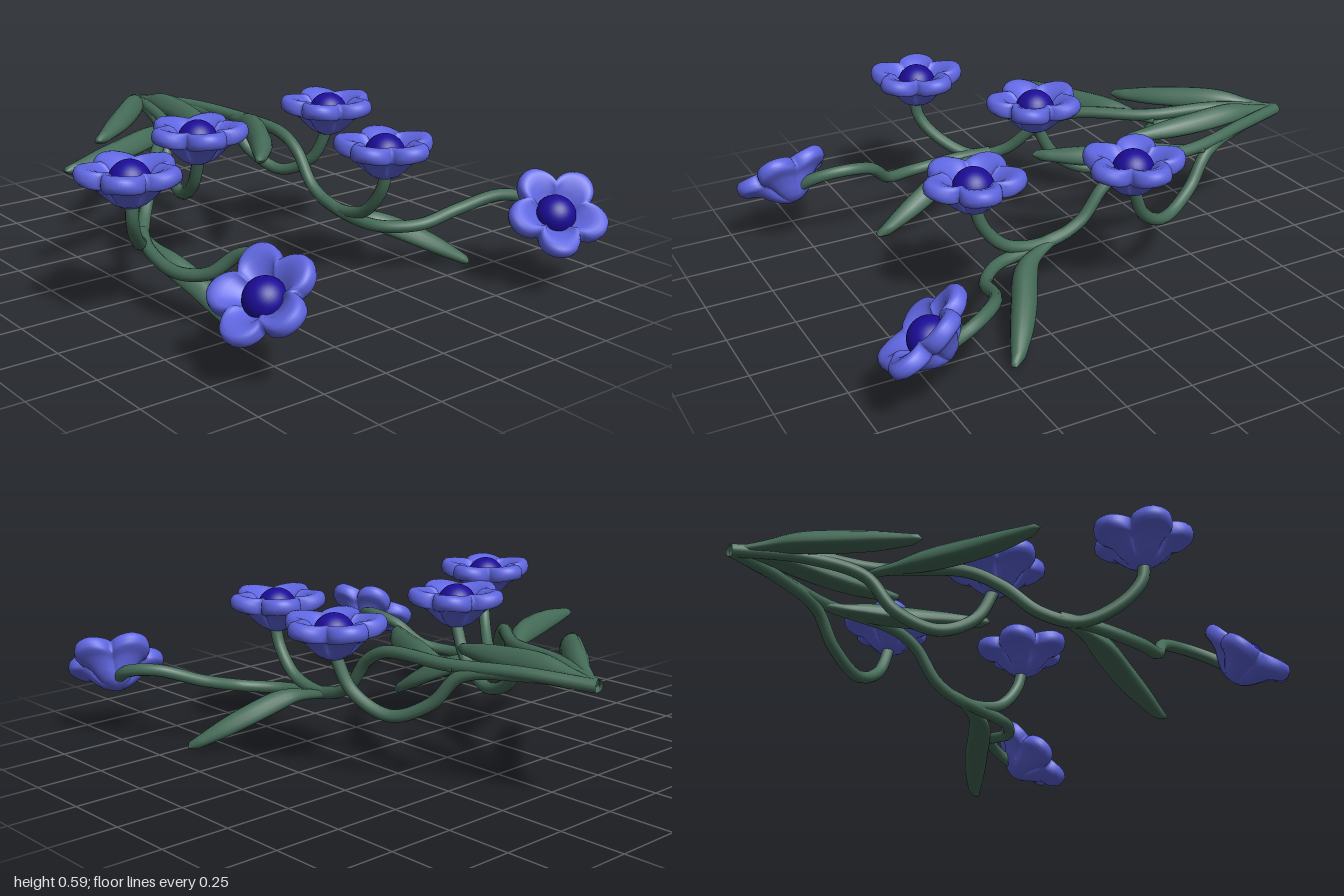
import * as THREE from 'three';

const V = (p) => new THREE.Vector3(...p);
const green = new THREE.MeshStandardMaterial({ color: 0x456b58, side: THREE.DoubleSide });
const blue = new THREE.MeshStandardMaterial({ color: 0x5f66e0, side: THREE.DoubleSide });
const navy = new THREE.MeshStandardMaterial({ color: 0x1c0c98 });

// Skin a grid of closed rings: ring(i, j) gives the point for ring i, spoke j
function loft(rings, spokes, ring) {
  const pos = [], idx = [];
  for (let i = 0; i < rings; i++) for (let j = 0; j < spokes; j++) pos.push(...ring(i, j).toArray());
  for (let i = 0; i < rings - 1; i++) {
    for (let j = 0; j < spokes; j++) {
      const a = i * spokes + j, b = i * spokes + (j + 1) % spokes;
      idx.push(a, b, a + spokes, b, b + spokes, a + spokes);
    }
  }
  const geo = new THREE.BufferGeometry();
  geo.setAttribute('position', new THREE.Float32BufferAttribute(pos, 3));
  geo.setIndex(idx);
  geo.computeVertexNormals();
  return geo;
}

function mesh(name, geo, mat) {
  const m = new THREE.Mesh(geo, mat);
  m.name = name;
  return m;
}

function stem(points) {
  const curve = new THREE.CatmullRomCurve3(points.map(V), false, 'centripetal');
  return mesh('stem', new THREE.TubeGeometry(curve, 64, 0.023, 12), green);
}

// Leaf: plump arched section that swells from a thin stalk, with a blunt tip swept to one side
const leafWidth = new THREE.SplineCurve([[0, 0.02], [0.2, 0.026], [0.4, 0.043], [0.6, 0.046], [0.8, 0.041], [1, 0.022]]
  .map((p) => new THREE.Vector2(...p)));

function leaf(points) {
  const curve = new THREE.CatmullRomCurve3(points.map(V));
  const rings = 32, spokes = 16;
  const geo = loft(rings, spokes, (i, j) => {
    const t = i / (rings - 1);
    const w = i === rings - 1 ? 0.002 : leafWidth.getPoint(t).y;
    const dir = curve.getTangent(t);
    const side = new THREE.Vector3().crossVectors(dir, new THREE.Vector3(0, 1, 0)).normalize();
    const up = new THREE.Vector3().crossVectors(side, dir);
    const a = (j / spokes) * Math.PI * 2;
    const arch = 0.2 * Math.sin(Math.PI * t) * (1 - 2 * Math.cos(a) ** 2);
    return curve.getPoint(t)
      .addScaledVector(side, Math.cos(a) * w + 0.012 * t ** 8)
      .addScaledVector(up, w * (0.78 * Math.sin(a) + arch))
      .addScaledVector(dir, Math.cos(a) * w * t ** 6);
  });
  return mesh('leaf', geo, green);
}

// Outline radius of five overlapping round petals
function petalRadius(angle) {
  const step = Math.PI * 2 / 5;
  const a = angle - Math.round(angle / step) * step;
  const d = 0.112, r = 0.074;
  return d * Math.cos(a) + Math.sqrt(r * r - (d * Math.sin(a)) ** 2);
}

// Blossom section, [share of outline radius, height], from the cup out over the rim to the funnel base
const section = [[0.02, -0.08], [0.3, -0.06], [0.5, -0.03], [0.66, -0.006], [0.82, 0.004], [0.92, 0.001],
  [0.975, -0.009], [1, -0.026], [0.985, -0.043], [0.92, -0.054], [0.8, -0.06], [0.65, -0.075], [0.5, -0.104],
  [0.35, -0.128], [0.2, -0.141], [0.01, -0.145]];

function flower({ at, facing = [0, 1, 0], turn }) {
  const g = new THREE.Group();
  g.name = 'flower';
  const spokes = 100;
  const petals = loft(section.length, spokes, (i, j) => {
    const a = (j / spokes) * Math.PI * 2;
    const [s, y] = section[i];
    // outline rounds off towards the funnel base
    const r = s * THREE.MathUtils.lerp(0.16, petalRadius(a), Math.min(1, s * 1.3));
    const wave = 0.006 * Math.cos(5 * a) * s * s;
    const b = a + THREE.MathUtils.degToRad(turn);
    return new THREE.Vector3(r * Math.sin(b), y + wave, -r * Math.cos(b));
  });
  const centre = mesh('flowerCentre', new THREE.SphereGeometry(0.074, 28, 18), navy);
  centre.position.y = -0.055;
  g.add(mesh('petals', petals, blue), centre);
  g.position.set(...at);
  g.quaternion.setFromUnitVectors(new THREE.Vector3(0, 1, 0), V(facing).normalize());
  return g;
}

export function createModel() {
  const model = new THREE.Group();
  model.name = 'flowerSpray';
  const root = [-0.99, 0.455, -0.08];

  // Stems: two main branches, a short sagging shoot on each, and a trailing shoot on each
  const stems = [
    [root, [-0.75, 0.46, -0.17], [-0.55, 0.43, -0.25], [-0.45, 0.32, -0.29], [-0.31, 0.26, -0.345],
      [-0.18, 0.33, -0.4], [-0.11, 0.48, -0.43]],
    [root, [-0.75, 0.47, 0.0], [-0.54, 0.43, 0.07], [-0.44, 0.31, 0.11], [-0.29, 0.26, 0.155],
      [-0.15, 0.33, 0.195], [-0.07, 0.48, 0.215]],
    [root, [-0.75, 0.47, -0.18], [-0.5, 0.46, -0.25], [-0.2, 0.45, -0.26], [-0.1, 0.4, -0.26], [0.0, 0.28, -0.26],
      [0.14, 0.23, -0.26], [0.3, 0.26, -0.26], [0.39, 0.36, -0.26], [0.42, 0.46, -0.26]],
    [root, [-0.75, 0.48, -0.0], [-0.5, 0.47, 0.08], [-0.26, 0.45, 0.28], [-0.16, 0.38, 0.37], [-0.07, 0.27, 0.46],
      [0.04, 0.235, 0.54], [0.15, 0.3, 0.63], [0.21, 0.39, 0.68], [0.22, 0.48, 0.685]],
    [[0.05, 0.25, -0.26], [0.2, 0.22, -0.26], [0.35, 0.21, -0.29], [0.45, 0.22, -0.4], [0.49, 0.26, -0.55],
      [0.57, 0.31, -0.69], [0.67, 0.3, -0.755], [0.78, 0.24, -0.75]],
    [[-0.02, 0.25, 0.5], [0.1, 0.23, 0.55], [0.3, 0.21, 0.57], [0.42, 0.23, 0.52], [0.51, 0.31, 0.46],
      [0.62, 0.335, 0.44], [0.73, 0.31, 0.48], [0.81, 0.24, 0.56]],
  ];
  stems.forEach((p) => model.add(stem(p)));

  // Leaves
  const leaves = [
    [[-0.97, 0.46, -0.08], [-0.8, 0.48, -0.085], [-0.6, 0.47, -0.08], [-0.33, 0.45, -0.05]],
    [[-0.97, 0.46, -0.08], [-0.83, 0.485, 0.02], [-0.68, 0.475, 0.17], [-0.5, 0.45, 0.37]],
    [[-0.52, 0.45, 0.06], [-0.42, 0.465, 0.19], [-0.32, 0.46, 0.4], [-0.225, 0.45, 0.67]],
    [[-0.53, 0.45, -0.25], [-0.37, 0.46, -0.23], [-0.18, 0.45, -0.14], [0.05, 0.44, 0.01]],
    [[0.12, 0.23, -0.26], [0.25, 0.2, -0.33], [0.34, 0.13, -0.47], [0.45, 0.025, -0.655]],
    [[0.0, 0.24, 0.51], [0.14, 0.2, 0.51], [0.3, 0.13, 0.47], [0.5, 0.02, 0.43]],
  ];
  leaves.forEach((p) => model.add(leaf(p)));

  // Flowers
  const flowers = [
    { at: [-0.115, 0.583, -0.425], turn: 0 },
    { at: [0.415, 0.562, -0.25], turn: 13 },
    { at: [-0.075, 0.583, 0.22], turn: 180 },
    { at: [0.21, 0.583, 0.685], turn: -12 },
    { at: [0.835, 0.325, -0.71], facing: [0.58, 0.73, 0.33], turn: 199 },
    { at: [0.82, 0.322, 0.615], facing: [0.18, 0.76, 0.62], turn: 168 },
  ];
  flowers.forEach((f) => model.add(flower(f)));
  return model;
}
